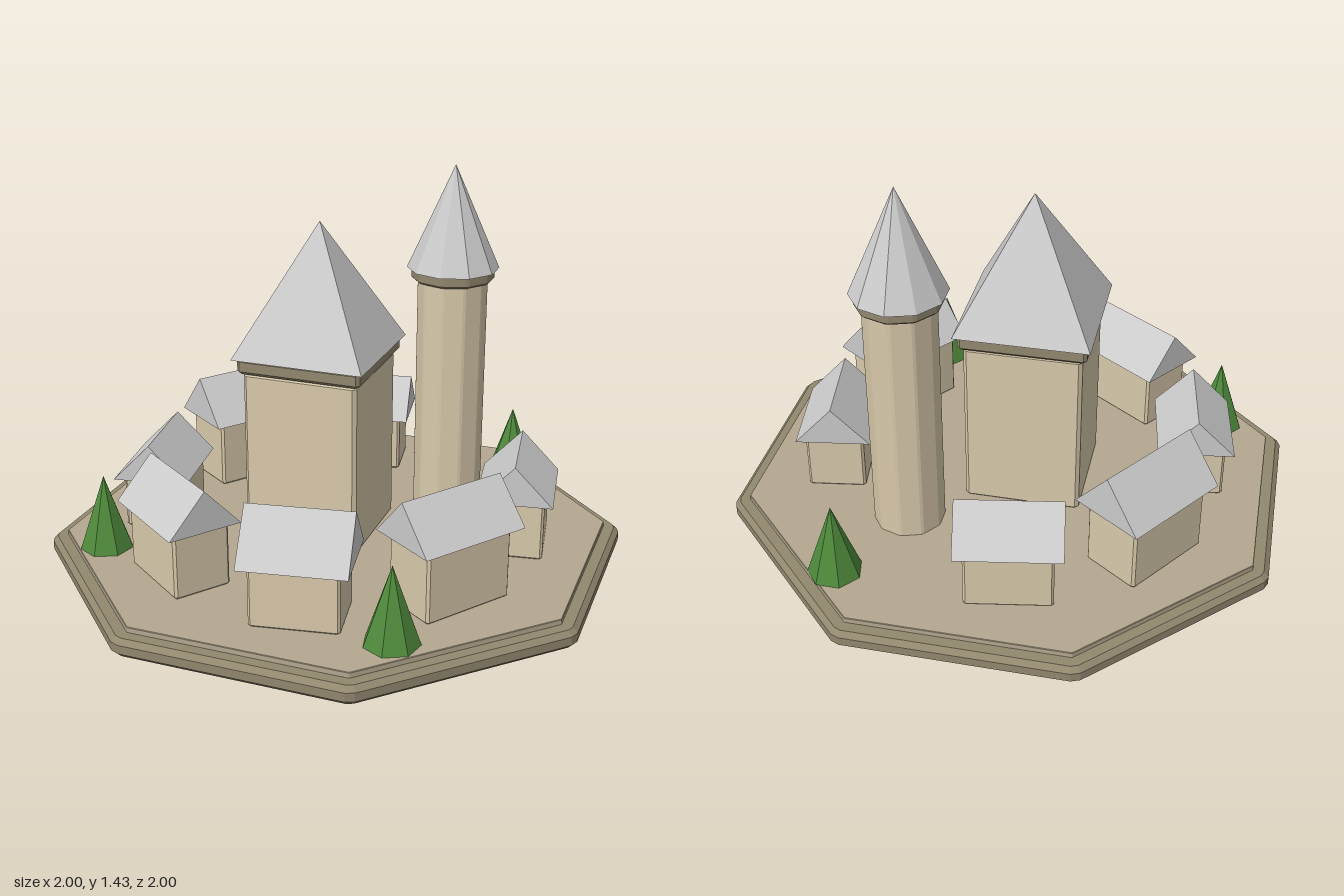
import * as THREE from 'three';

const paint = (color) => new THREE.MeshStandardMaterial({ color, flatShading: true });

// Regular polygon outline; phase is the angle of the first corner
const ring = (sides, radius, phase) => Array.from({ length: sides }, (_, i) => {
  const a = phase + (i / sides) * Math.PI * 2;
  return new THREE.Vector2(radius * Math.cos(a), radius * Math.sin(a));
});

const rect = (w, d) => [[-1, -1], [1, -1], [1, 1], [-1, 1]]
  .map(([x, y]) => new THREE.Vector2((x * w) / 2, (y * d) / 2));

// Upright prism from y0 to y1 with chamfered corners and rims
function chamferedPrism(outline, y0, y1, c) {
  const n = outline.length;
  const points = outline.flatMap((p, i) => [outline[(i + n - 1) % n], outline[(i + 1) % n]]
    .map((q) => p.clone().add(q.clone().sub(p).setLength(c))));
  const geo = new THREE.ExtrudeGeometry(new THREE.Shape(points), {
    depth: y1 - y0 - 2 * c, bevelEnabled: true, bevelSegments: 1,
    bevelSize: c, bevelThickness: c, bevelOffset: -c,
  });
  return geo.translate(0, 0, y0 + c).rotateX(-Math.PI / 2);
}

// Solid gable roof with its ridge along x
function gableRoof(length, width, y0, y1) {
  const gable = new THREE.Shape([
    new THREE.Vector2(-width / 2, y0), new THREE.Vector2(width / 2, y0), new THREE.Vector2(0, y1),
  ]);
  return new THREE.ExtrudeGeometry(gable, { depth: length, bevelEnabled: false })
    .translate(0, 0, -length / 2).rotateY(Math.PI / 2);
}

// Cone or pyramid between two heights
const spire = (radius, y0, y1, sides) =>
  new THREE.ConeGeometry(radius, y1 - y0, sides).translate(0, (y0 + y1) / 2, 0);

export function createModel() {
  const model = new THREE.Group();
  const wall = paint(0xd8c9ab);
  const trim = paint(0x92886f);
  const ground = paint(0xb5a890);
  const roof = paint(0xcccccc);
  const leaf = paint(0x4f8a3c);

  const add = (parent, name, geometry, material) => {
    const mesh = new THREE.Mesh(geometry, material);
    mesh.name = name;
    parent.add(mesh);
    return mesh;
  };
  const place = (name, x, z, turn = 0) => {
    const group = new THREE.Group();
    group.name = name;
    group.position.set(x, 0, z);
    group.rotation.y = THREE.MathUtils.degToRad(turn);
    model.add(group);
    return group;
  };

  // Octagonal island in two steps
  const top = 0.088;
  const octagon = (apothem) => ring(8, apothem / Math.cos(Math.PI / 8), Math.PI / 8);
  add(model, 'baseStep', chamferedPrism(octagon(1), 0, 0.068, 0.018), trim);
  add(model, 'groundPlate', chamferedPrism(octagon(0.943), 0.06, top, 0.002), ground);

  // Square keep
  const keep = place('keep', -0.068, 0);
  add(keep, 'keepWalls', chamferedPrism(rect(0.43, 0.43), top - 0.005, 0.745, 0.013), wall);
  add(keep, 'keepCornice', chamferedPrism(rect(0.465, 0.465), 0.742, 0.802, 0.012), trim);
  add(keep, 'keepRoof', spire(0.247 * Math.SQRT2, 0.798, 1.27, 4).rotateY(Math.PI / 4), roof);

  // Ten-sided watchtower
  const tower = place('tower', 0.322, -0.367);
  const decagon = (r) => ring(10, r, Math.PI / 2);
  add(tower, 'towerWalls', chamferedPrism(decagon(0.132), top - 0.005, 1.005, 0.006), wall);
  add(tower, 'towerCollar', chamferedPrism(decagon(0.157), 1.0, 1.048, 0.008), trim);
  add(tower, 'towerRoof', spire(0.172, 1.043, 1.43, 10), roof);

  // Ring of cottages: x, z, turn, roof length, roof width, eave height, ridge height
  const cottages = [
    [-0.12, -0.665, 10, 0.376, 0.278, 0.31, 0.46],
    [-0.552, -0.391, 55, 0.42, 0.288, 0.35, 0.52],
    [-0.667, 0.115, 99, 0.358, 0.282, 0.29, 0.435],
    [-0.389, 0.547, -35.5, 0.396, 0.277, 0.33, 0.482],
    [0.115, 0.66, 10, 0.376, 0.297, 0.308, 0.482],
    [0.55, 0.383, 55, 0.42, 0.276, 0.35, 0.503],
    [0.66, -0.12, 99, 0.354, 0.278, 0.31, 0.457],
  ];
  cottages.forEach(([x, z, turn, length, width, eave, ridge], i) => {
    const cottage = place(`cottage${i + 1}`, x, z, turn);
    const walls = rect(length - 0.065, width - 0.062);
    add(cottage, 'cottageWalls', chamferedPrism(walls, top - 0.002, eave + 0.01, 0.009), wall);
    add(cottage, 'cottageRoof', gableRoof(length, width, eave, ridge), roof);
  });

  // Fir trees
  [[-0.74, 0.45], [0.458, 0.73], [0.495, -0.72]].forEach(([x, z], i) => {
    const tree = add(model, `tree${i + 1}`, spire(0.098, top, 0.368, 7), leaf);
    tree.position.set(x, 0, z);
  });

  return model;
}
